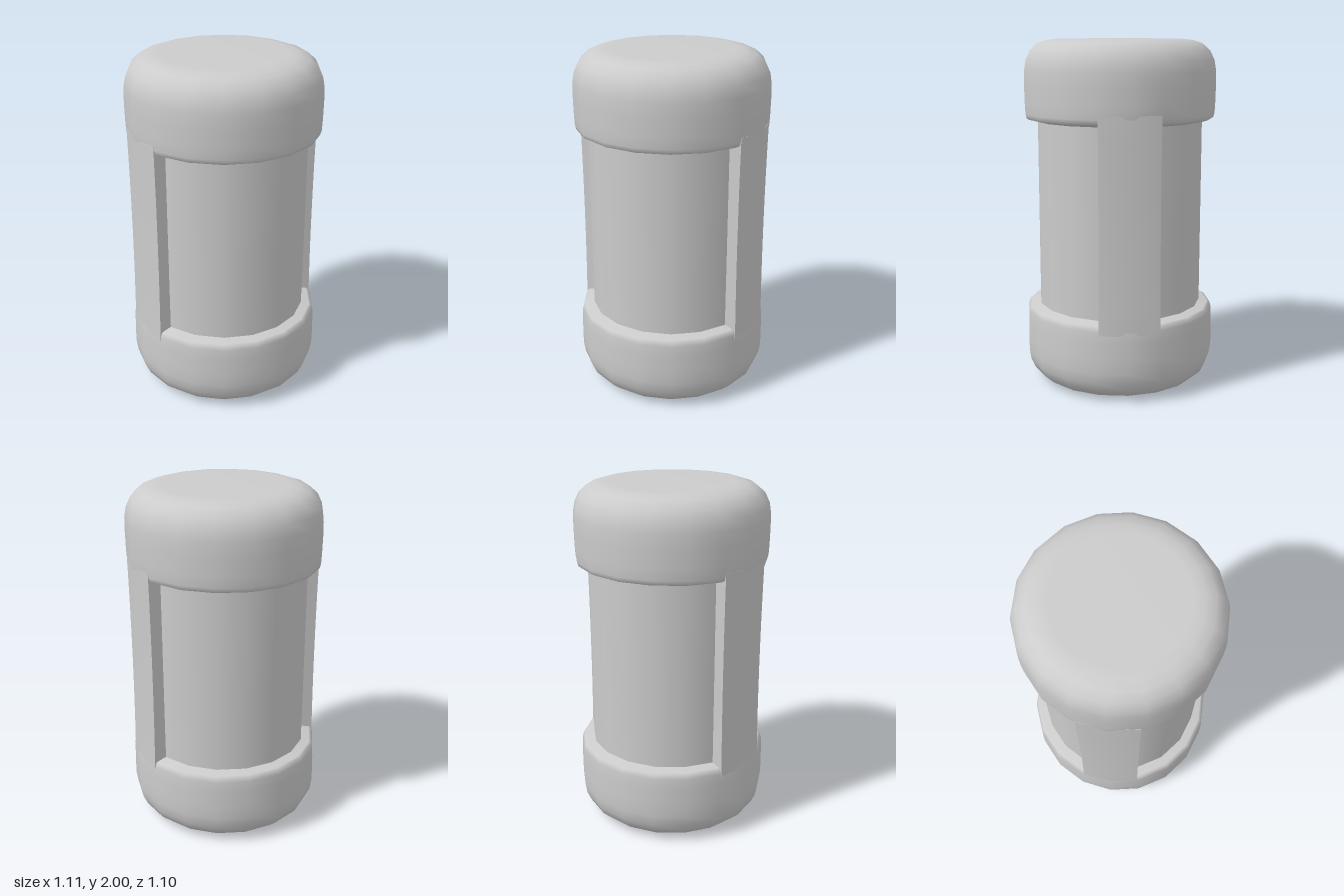
import * as THREE from 'three';

const SIDES = 18;
const DEG = Math.PI / 180;
const material = new THREE.MeshStandardMaterial({ color: 0xcccccc });

// Turned part; the profile runs from bottom to top as [radius, y]
function turned(name, profile) {
  const points = profile.map(([r, y]) => new THREE.Vector2(r, y));
  const mesh = new THREE.Mesh(new THREE.LatheGeometry(points, SIDES, 10 * DEG), material);
  mesh.name = name;
  return mesh;
}

// Same profile turned upside down about the middle of the model
const flip = (profile) => profile.map(([r, y]) => [r, 2 - y]).reverse();

// Upright bar bent round the axis, slightly waisted, with splayed side walls
function strut(name, centre) {
  const geometry = new THREE.BoxGeometry(1, 1, 1, 2, 8, 1);
  const p = geometry.attributes.position;
  for (let i = 0; i < p.count; i++) {
    const outer = p.getZ(i) > 0;
    const t = p.getY(i) * 2;
    const r = outer ? 0.546 + 0.006 * t * t : 0.44;
    const phi = (centre + p.getX(i) * 2 * (outer ? 18 : 20.5)) * DEG;
    p.setXYZ(i, r * Math.sin(phi), 1 + t * 0.6, r * Math.cos(phi));
  }
  geometry.computeVertexNormals();
  const mesh = new THREE.Mesh(geometry, material);
  mesh.name = name;
  return mesh;
}

export function createModel() {
  const group = new THREE.Group();
  group.name = 'canister';

  // Rounded end caps and the sloping ledges inside their rims
  const cap = [
    [0.532, 1.549], [0.545, 1.556], [0.552, 1.58], [0.555, 1.64], [0.557, 1.74], [0.556, 1.82],
    [0.546, 1.88], [0.52, 1.935], [0.475, 1.975], [0.42, 1.993], [0.36, 2], [0, 2],
  ];
  const ledge = [[0.46, 1.531], [0.532, 1.549]];
  group.add(
    turned('topCap', cap),
    turned('topLedge', ledge),
    turned('bottomCap', flip(cap)),
    turned('bottomLedge', flip(ledge)),
  );

  // Recessed inner cylinder
  group.add(turned('core', [[0.48, 0.42], [0.48, 1.58]]));

  // Two opposite struts joining the caps
  group.add(strut('leftStrut', 70), strut('rightStrut', 250));
  return group;
}
